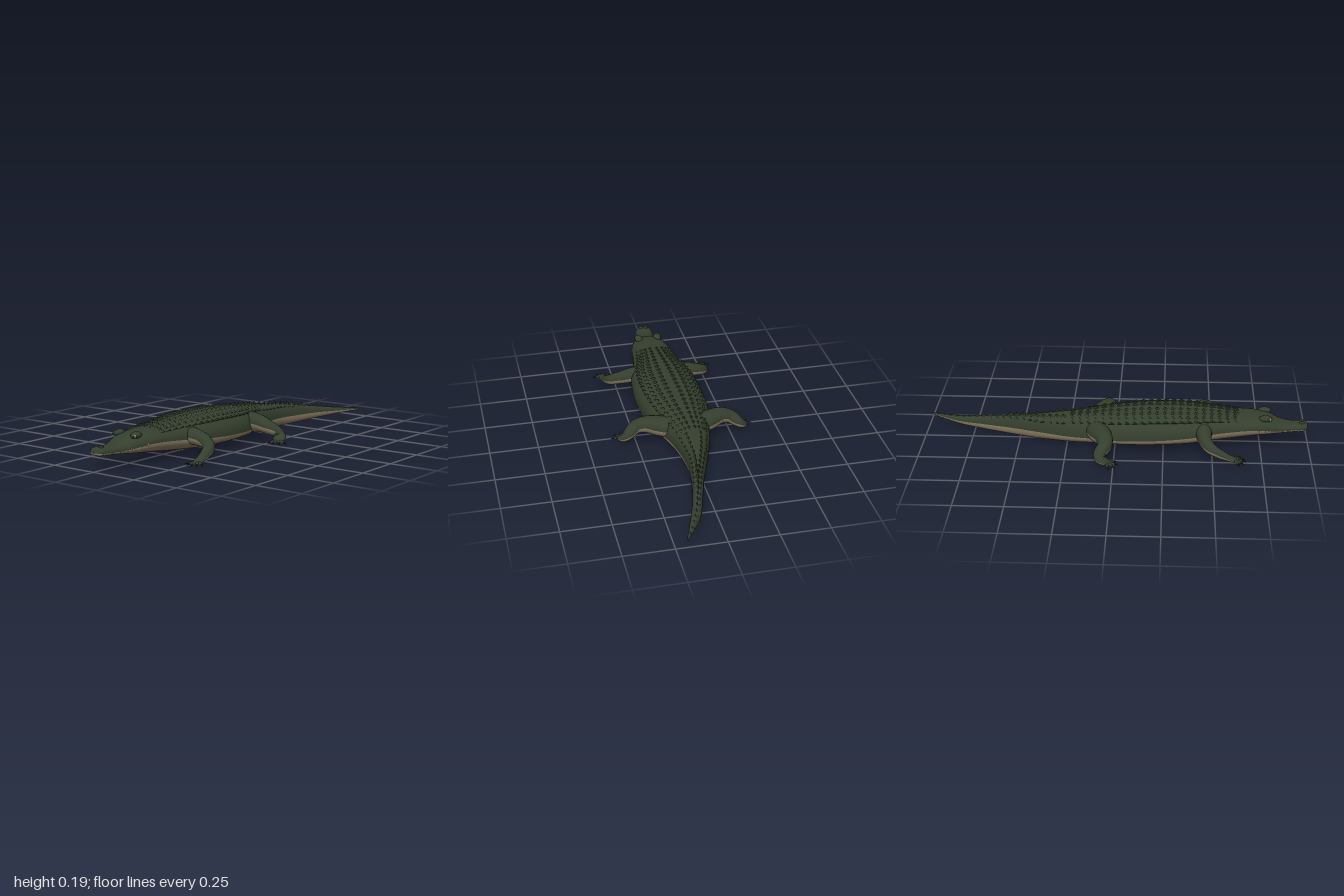
import * as THREE from 'three';
import { mergeGeometries } from 'three/addons/utils/BufferGeometryUtils.js';

const mat = (name, color) => new THREE.MeshStandardMaterial({ name, color });

// Body sections: z, left edge, right edge, top, colour seam, bottom
const SECTIONS = [
  [-1.0, 0.192, 0.198, 0.042, 0.037, 0.032],
  [-0.84, 0.095, 0.142, 0.062, 0.042, 0.02],
  [-0.71, 0.052, 0.103, 0.083, 0.047, 0.012],
  [-0.55, 0.006, 0.072, 0.11, 0.05, 0.004],
  [-0.41, -0.042, 0.06, 0.131, 0.053, 0.001],
  [-0.24, -0.098, 0.083, 0.153, 0.056, 0.005],
  [-0.12, -0.125, 0.12, 0.166, 0.06, 0.01],
  [0.02, -0.158, 0.17, 0.177, 0.064, 0.017],
  [0.2, -0.166, 0.194, 0.186, 0.072, 0.018],
  [0.38, -0.155, 0.189, 0.184, 0.085, 0.022],
  [0.5, -0.122, 0.157, 0.176, 0.094, 0.03],
  [0.62, -0.1, 0.132, 0.164, 0.101, 0.042],
  [0.72, -0.086, 0.121, 0.159, 0.104, 0.053],
  [0.79, -0.073, 0.102, 0.151, 0.097, 0.06],
  [0.85, -0.055, 0.074, 0.126, 0.088, 0.066],
  [0.91, -0.042, 0.055, 0.116, 0.087, 0.071],
  [0.96, -0.041, 0.051, 0.119, 0.09, 0.074],
  [0.985, -0.033, 0.043, 0.117, 0.091, 0.077],
  [0.996, -0.016, 0.026, 0.107, 0.092, 0.083],
  [1.0, 0.004, 0.006, 0.094, 0.093, 0.092],
];

function sectionAt(z) {
  let i = 0;
  while (i < SECTIONS.length - 2 && z > SECTIONS[i + 1][0]) i++;
  const p = (k) => SECTIONS[THREE.MathUtils.clamp(k, 0, SECTIONS.length - 1)];
  const [a, b, c, d] = [p(i - 1), p(i), p(i + 1), p(i + 2)];
  const h = c[0] - b[0], t = (z - b[0]) / h;
  const slope = (u, v, k) => (u === v ? 0 : (v[k] - u[k]) / (v[0] - u[0]));
  return b.map((_, k) => {
    if (k === 0) return z;
    const m0 = slope(a, c, k) * h, m1 = slope(b, d, k) * h;
    const t2 = t * t, t3 = t2 * t;
    return (2 * t3 - 3 * t2 + 1) * b[k] + (t3 - 2 * t2 + t) * m0 + (3 * t2 - 2 * t3) * c[k] + (t3 - t2) * m1;
  });
}

// Point on the body; angle runs from the right side over the back
function bodyPoint(z, angle) {
  const [, l, r, top, seam, bottom] = sectionAt(z);
  const c = Math.cos(angle), s = Math.sin(angle);
  const soft = (v) => Math.sign(v) * Math.abs(v) ** 0.85;
  return new THREE.Vector3((l + r) / 2 - soft(c) * (r - l) / 2,
    seam + soft(s) * (s > 0 ? top - seam : seam - bottom), z);
}

// Skin over rings: the first `upper` segments take material 0, the rest material 1
function skin(rings, upper) {
  const n = rings[0].length, pos = [], faces = [[], []];
  rings.forEach((ring) => ring.forEach((p) => pos.push(p.x, p.y, p.z)));
  for (let i = 0; i < rings.length - 1; i++) {
    for (let j = 0; j < n; j++) {
      const a = i * n + j, b = i * n + (j + 1) % n, c = a + n, d = b + n;
      faces[j < upper ? 0 : 1].push(a, c, b, b, c, d);
    }
  }
  const g = new THREE.BufferGeometry();
  g.setAttribute('position', new THREE.Float32BufferAttribute(pos, 3));
  g.setIndex([...faces[0], ...faces[1]]);
  g.addGroup(0, faces[0].length, 0);
  g.addGroup(faces[0].length, faces[1].length, 1);
  g.computeVertexNormals();
  return g;
}

// Limb along points [x, y, z, half width, half height]
function limb(points, steps, sides) {
  const curve = new THREE.CatmullRomCurve3(points.map((p) => new THREE.Vector3(p[0], p[1], p[2])));
  const up = new THREE.Vector3(0, 1, 0), rings = [];
  for (let i = 0; i <= steps; i++) {
    const t = i / steps, f = t * (points.length - 1);
    const k = Math.min(Math.floor(f), points.length - 2);
    const size = (m) => THREE.MathUtils.lerp(points[k][m], points[k + 1][m], f - k);
    const dir = curve.getTangent(t), side = dir.clone().cross(up).normalize();
    const top = side.clone().cross(dir);
    rings.push(Array.from({ length: sides }, (_, j) => {
      const a = (j / sides) * Math.PI * 2;
      return curve.getPoint(t).addScaledVector(side, Math.cos(a) * size(3)).addScaledVector(top, Math.sin(a) * size(4));
    }));
  }
  return skin(rings, sides / 2);
}

// Keeled back plate leaning towards the tail
function scute(z, angle, w, h, l) {
  const g = new THREE.ConeGeometry(1, 1, 4).toNonIndexed();
  g.applyMatrix4(new THREE.Matrix4().set(1, 0, 0, 0, 0, 1, 0, 0.35, 0, -0.4, 1, 0, 0, 0, 0, 1));
  g.computeVertexNormals();
  const p = bodyPoint(z, angle);
  return g.scale(w, h, l).rotateZ((Math.PI / 2 - angle) * -0.75).translate(p.x, p.y - 0.002, p.z);
}

export function createModel() {
  const model = new THREE.Group();
  const hide = mat('dark green hide', 0x353f2e);
  const belly = mat('tan belly', 0x877a62);
  const claw = mat('dark claw', 0x1d1d19);
  const ivory = mat('ivory tooth', 0xb5aa8a);
  const iris = mat('olive eye', 0x8c8752);
  const add = (name, geometry, material, parent = model) => {
    const mesh = new THREE.Mesh(geometry, material);
    mesh.name = name;
    parent.add(mesh);
    return mesh;
  };

  // Body, head and tail
  const rings = [];
  for (let i = 0; i < SECTIONS.length - 1; i++) {
    for (let k = 0; k < 6; k++) {
      const z = THREE.MathUtils.lerp(SECTIONS[i][0], SECTIONS[i + 1][0], k / 6);
      rings.push(Array.from({ length: 40 }, (_, j) => bodyPoint(z, (j / 40) * Math.PI * 2)));
    }
  }
  rings.push(Array.from({ length: 40 }, (_, j) => bodyPoint(1, (j / 40) * Math.PI * 2)));
  add('body', skin(rings, 20), [hide, belly]);

  // Rows of back plates
  const plates = [];
  for (let z = -0.22; z < 0.66; z += 0.04) {
    const [, l, r] = sectionAt(z);
    for (let k = 0; k < 8; k++) {
      const angle = Math.PI / 2 + (k - 3.5) * 0.235;
      plates.push(scute(z, angle, (r - l) * 0.05, 0.014, 0.022));
    }
  }
  add('backPlates', mergeGeometries(plates), hide);

  // Tail crest: two rows that join into one
  const crest = [];
  for (let z = -0.95; z < -0.24; z += 0.036) {
    const spread = THREE.MathUtils.clamp((z + 0.62) * 1.6, 0, 0.42);
    const size = THREE.MathUtils.clamp((z + 1) * 2.5, 0.3, 1);
    (spread ? [-1, 1] : [0]).forEach((s) => {
      crest.push(scute(z, Math.PI / 2 + s * spread, 0.008 * size, 0.021 * size, 0.023));
      crest.push(scute(z, Math.PI / 2 + (s || 1) * (spread + 0.45), 0.007 * size, 0.01 * size, 0.02));
      if (!s) crest.push(scute(z, Math.PI / 2 - 0.45, 0.007 * size, 0.01 * size, 0.02));
    });
  }
  add('tailCrest', mergeGeometries(crest), hide);

  // Eyes, lids and nostrils
  for (const s of [-1, 1]) {
    const x = 0.016 + s * 0.053;
    add('browRidge', new THREE.SphereGeometry(1, 16, 10).scale(0.022, 0.018, 0.034).translate(x, 0.15, 0.775), hide);
    add('eye', new THREE.SphereGeometry(0.009, 12, 8).translate(x + s * 0.01, 0.149, 0.797), iris);
    add('pupil', new THREE.SphereGeometry(1, 8, 6).scale(0.002, 0.005, 0.002).translate(x + s * 0.0135, 0.149, 0.805), claw);
    add('nostril', new THREE.SphereGeometry(1, 12, 8).scale(0.011, 0.007, 0.014).translate(0.005 + s * 0.014, 0.117, 0.965), hide);
  }

  // Teeth along the jaw line
  const teeth = [];
  for (const base of [0, Math.PI]) {
    for (let i = 0; i < 15; i++) {
      const p = bodyPoint(0.74 + i * 0.0172, base);
      const g = new THREE.ConeGeometry(0.0035, 0.013, 6);
      if (i % 2) g.rotateX(Math.PI);
      teeth.push(g.translate(p.x, p.y, p.z));
    }
  }
  add('teeth', mergeGeometries(teeth), ivory);

  // Legs, each with a fan of clawed toes
  function leg(name, side, shift, path, toes, heading) {
    const group = new THREE.Group();
    group.name = name;
    model.add(group);
    const place = ([x, y, z, w, h]) => [side * x + shift, y, z, w, h];
    add('limb', limb(path.map(place), 36, 20), [hide, belly], group);
    const [fx, , fz] = path[path.length - 2];
    for (let i = 0; i < toes; i++) {
      const a = heading + (i / (toes - 1) - 0.5) * 1.9;
      const at = (d, y, w) => place([fx + Math.sin(a) * d, y, fz + Math.cos(a) * d, w, w * 0.9]);
      add('toe', limb([at(0.005, 0.024, 0.009), at(0.025, 0.022, 0.008), at(0.042, 0.017, 0.007), at(0.047, 0.016, 0.001)], 9, 8), [hide, belly], group);
      add('claw', limb([at(0.04, 0.018, 0.0055), at(0.052, 0.017, 0.004), at(0.063, 0.011, 0.0004)], 6, 8), claw, group);
    }
  }
  const front = [
    [0.07, 0.105, 0.44, 0.05, 0.045], [0.14, 0.105, 0.455, 0.044, 0.042], [0.21, 0.092, 0.463, 0.034, 0.034],
    [0.257, 0.07, 0.492, 0.031, 0.028], [0.272, 0.047, 0.54, 0.025, 0.023], [0.278, 0.031, 0.582, 0.022, 0.016],
    [0.281, 0.024, 0.607, 0.027, 0.012], [0.283, 0.019, 0.632, 0.004, 0.003],
  ];
  const hind = [
    [0.05, 0.09, -0.1, 0.07, 0.055], [0.13, 0.093, -0.075, 0.057, 0.052], [0.195, 0.096, -0.05, 0.044, 0.044],
    [0.25, 0.083, -0.045, 0.037, 0.036], [0.29, 0.06, -0.067, 0.033, 0.028], [0.31, 0.039, -0.062, 0.032, 0.023],
    [0.317, 0.026, -0.035, 0.033, 0.014], [0.322, 0.019, -0.008, 0.005, 0.004],
  ];
  for (const side of [-1, 1]) {
    const word = side > 0 ? 'Left' : 'Right';
    leg('front' + word + 'Leg', side, 0.025, front, 5, 0.1);
    leg('hind' + word + 'Leg', side, 0, hind, 4, 0.4);
  }
  return model;
}
